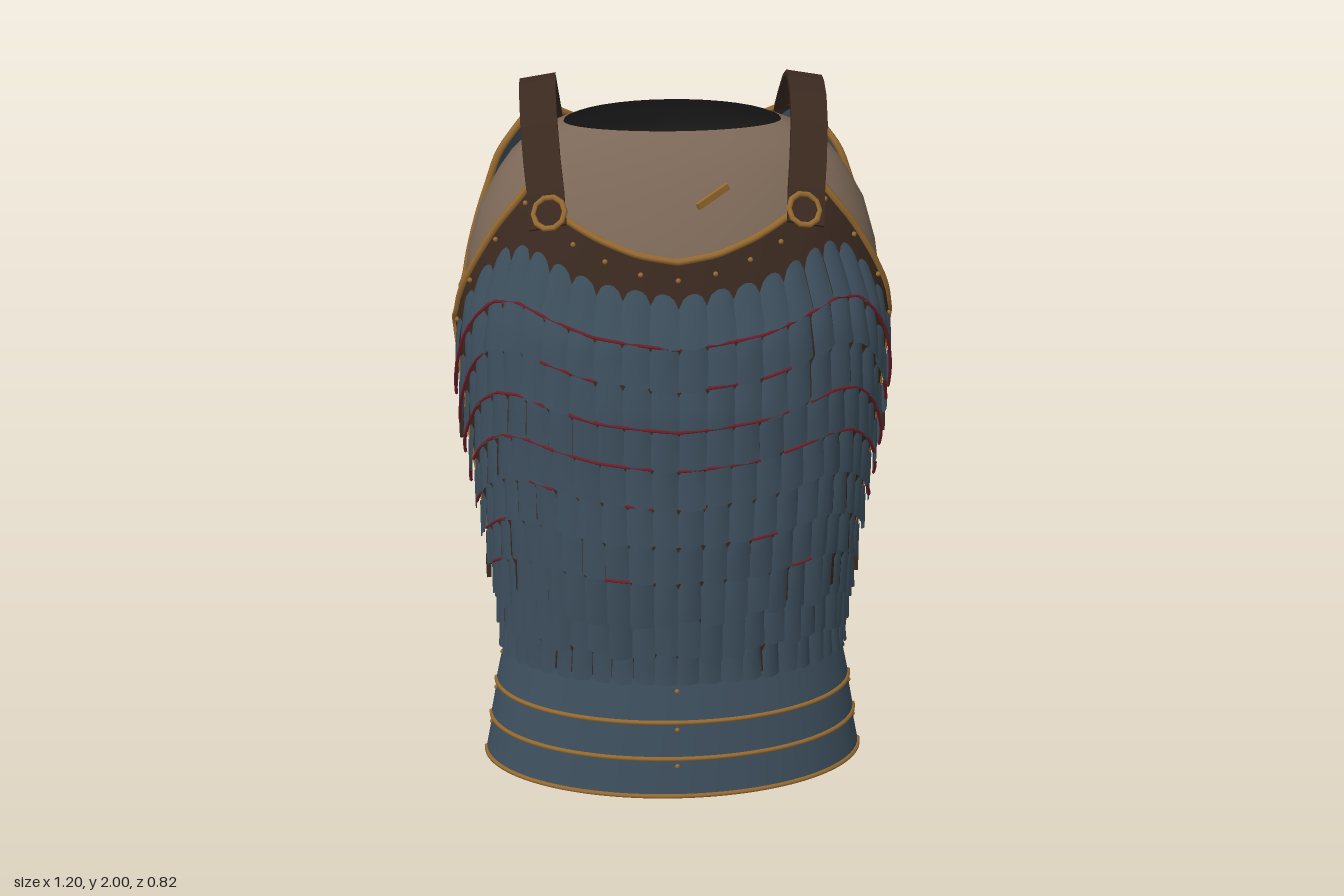
import * as THREE from 'three';
import { mergeGeometries, mergeVertices } from 'three/addons/utils/BufferGeometryUtils.js';

const mat = (name, color, side = THREE.DoubleSide) => {
  const m = new THREE.MeshStandardMaterial({ color, side });
  m.name = name;
  return m;
};

// piecewise linear lookup in [key, value, key, value, ...]
function look(t, k) {
  if (k <= t[0]) return t[1];
  for (let i = 2; i < t.length; i += 2) {
    if (k <= t[i]) return t[i - 1] + (t[i + 1] - t[i - 1]) * (k - t[i - 2]) / (t[i] - t[i - 2]);
  }
  return t[t.length - 1];
}

// surface from fn(u, v) -> Vector3 with u, v in 0..1
function grid(nu, nv, fn) {
  const pos = [], idx = [];
  for (let j = 0; j <= nv; j++) for (let i = 0; i <= nu; i++) pos.push(...fn(i / nu, j / nv).toArray());
  for (let j = 0; j < nv; j++) for (let i = 0; i < nu; i++) {
    const a = j * (nu + 1) + i, d = a + nu + 1;
    idx.push(a, d, a + 1, a + 1, d, d + 1);
  }
  let g = new THREE.BufferGeometry();
  g.setAttribute('position', new THREE.Float32BufferAttribute(pos, 3));
  g.setIndex(idx);
  g = mergeVertices(g, 1e-5);
  g.computeVertexNormals();
  return g;
}

// flat strap along pts; side is the half-width vector
function ribbon(pts, side, thick) {
  const pos = [], n = pts.length;
  const rings = pts.map((p, i) => {
    const t = pts[Math.min(i + 1, n - 1)].clone().sub(pts[Math.max(i - 1, 0)]);
    const h = new THREE.Vector3().crossVectors(side, t).setLength(thick / 2);
    return [[1, 1], [-1, 1], [-1, -1], [1, -1]].map(([a, b]) => p.clone().addScaledVector(side, a).addScaledVector(h, b));
  });
  const quad = (a, b, c, d) => [a, b, c, a, c, d].forEach(p => pos.push(p.x, p.y, p.z));
  for (let i = 0; i < n - 1; i++) for (let k = 0; k < 4; k++) {
    const m = (k + 1) % 4;
    quad(rings[i][k], rings[i][m], rings[i + 1][m], rings[i + 1][k]);
  }
  const [a, b, c, d] = rings[0];
  quad(d, c, b, a);
  quad(...rings[n - 1]);
  const g = new THREE.BufferGeometry();
  g.setAttribute('position', new THREE.Float32BufferAttribute(pos, 3));
  g.computeVertexNormals();
  return g;
}

const V = (x, y, z) => new THREE.Vector3(x, y, z);
const PI = Math.PI;
const fold = th => Math.min(th, PI - th);

// half-width and depth of the front and back shells by height
const FA = [0.36, 0.475, 0.6, 0.5, 0.8, 0.53, 1, 0.56, 1.2, 0.58, 1.34, 0.593, 1.45, 0.588, 1.55, 0.565, 1.67, 0.53, 1.78, 0.49];
const FB = [0.36, 0.275, 0.6, 0.318, 0.8, 0.347, 1, 0.362, 1.2, 0.385, 1.4, 0.382, 1.5, 0.352, 1.6, 0.32, 1.7, 0.285, 1.78, 0.24];
const BA = [0.34, 0.49, 0.6, 0.515, 0.8, 0.54, 1, 0.565, 1.2, 0.588, 1.37, 0.6, 1.5, 0.59, 1.6, 0.575, 1.75, 0.545, 1.88, 0.52];
const BB = [0.34, 0.325, 0.6, 0.337, 0.8, 0.355, 1, 0.372, 1.2, 0.397, 1.37, 0.418, 1.6, 0.388, 1.7, 0.374, 1.8, 0.343, 1.88, 0.325];
// top edges by angle from the side
const FTOP = [0, 1.34, 0.13, 1.37, 0.29, 1.49, 0.49, 1.64, 0.73, 1.785, 0.956, 1.7, 1.185, 1.65, 1.385, 1.615, 1.571, 1.6];
const BTOP = [0.27, 1.39, 0.32, 1.41, 0.37, 1.5, 0.54, 1.75, 0.81, 1.88, 1.05, 1.82, 1.2, 1.77, 1.4, 1.71, 1.571, 1.69];
const STOP = [0.06, 1.22, 0.3, 1.39, 0.5, 1.54, 0.65, 1.61, 0.8, 1.625, 0.96, 1.595, 1.2, 1.55, 1.571, 1.52];

const front = (th, y, o = 0) => V((look(FA, y) + o) * Math.cos(th), y, (look(FB, y) + o) * Math.sin(th));
const back = (th, y) => {
  const x = look(BA, y) * Math.cos(th);
  return V(x, y, -look(BB, y) * Math.sin(th) * (1 - 0.035 * Math.exp(-((x / 0.13) ** 2))));
};

export function createModel() {
  const steel = mat('blue steel', 0x3d4f5d), cloth = mat('tan padding', 0x7c6858, THREE.FrontSide);
  const lining = mat('dark lining', 0x282828, THREE.FrontSide), leather = mat('brown leather', 0x3a291f);
  const brass = mat('brass', 0x966a30), red = mat('red cord', 0x74202a);
  const model = new THREE.Group();
  const add = (name, geo, m) => {
    const mesh = new THREE.Mesh(geo, m);
    mesh.name = name;
    model.add(mesh);
    return mesh;
  };
  const tube = (pts, r, closed = false) =>
    new THREE.TubeGeometry(new THREE.CatmullRomCurve3(pts, closed), pts.length * 2, r, 6, closed);
  let seed = 7;
  const rnd = () => (seed = (seed * 16807) % 2147483647) / 2147483647;

  // padded undergarment: height, half-width, front depth, back depth
  const pad = [[0.16, 0.46, 0.25, 0.3], [0.35, 0.46, 0.255, 0.305], [0.8, 0.51, 0.325, 0.335], [1.2, 0.56, 0.365, 0.37],
    [1.4, 0.572, 0.36, 0.385], [1.55, 0.55, 0.315, 0.365], [1.67, 0.515, 0.265, 0.34], [1.75, 0.47, 0.22, 0.315],
    [1.8, 0.435, 0.19, 0.29], [1.85, 0.385, 0.15, 0.25], [1.89, 0.29, 0.11, 0.2]];
  // turn = 1 faces outward, turn = -1 faces inward
  const padding = (turn, inset) => grid(36, pad.length - 1, (u, v) => {
    const [y, a, f, b] = pad[Math.round(v * (pad.length - 1))], s = turn * Math.sin(u * 2 * PI);
    return V((a - inset) * Math.cos(u * 2 * PI), y, s * ((s > 0 ? f : b) - inset));
  });
  add('padding', padding(1, 0), cloth);
  add('paddingLining', padding(-1, 0.004), lining);

  // leather base of the front and smooth back plate
  const sheet = (fn, t0, top, bottom) => grid(96, 24, (u, v) => {
    const th = t0 + u * (PI - 2 * t0);
    return fn(th, bottom + v * (look(top, fold(th)) - bottom));
  });
  add('frontLeather', sheet(front, 0, FTOP, 0.34), leather);
  add('backPlate', sheet(back, 0.27, BTOP, 0.34), steel);

  // brass edging
  const edge = (fn, t0, top, bottom) => {
    const pts = [];
    for (let i = 0; i < 14; i++) pts.push(fn(t0, bottom + (look(top, t0) - bottom) * i / 14));
    for (let i = 0; i <= 60; i++) {
      const th = t0 + (PI - 2 * t0) * i / 60;
      pts.push(fn(th, look(top, fold(th))));
    }
    for (let i = 13; i >= 0; i--) pts.push(fn(PI - t0, bottom + (look(top, t0) - bottom) * i / 14));
    return pts;
  };
  add('frontEdging', tube(edge(front, 0, FTOP, 0.36), 0.01), brass);
  const backEdge = edge(back, 0.27, BTOP, 0.34);
  for (let i = 1; i < 30; i++) backEdge.push(back(PI - 0.27 - (PI - 0.54) * i / 30, 0.34));
  add('backEdging', tube(backEdge, 0.01, true), brass);

  // overlapping scales, each a curved plate with a rounded top and raised lower end
  const ROWS = 10, COLS = 24, T0 = 0.07, step = (PI - 2 * T0) / COLS;
  const at = (th, row, o) => {
    const top = look(STOP, fold(th));
    return front(th, top - (top - 0.35) * row / ROWS, o);
  };
  const scales = [], cords = [];
  const bare = [1, 0.1, 0.75, 0.1, 0.25, 0.75, 0.85, 0.8, 1, 1];
  for (let r = 0; r < ROWS; r++) for (let c = 0; c < COLS; c++) {
    const mid = T0 + (c + 0.5) * step, lift = 0.011 + rnd() * 0.006;
    const skew = (rnd() - 0.5) * (r > 6 ? 0.016 : 0.008);
    const drop = r === ROWS - 1 ? 1 : 1.12 + rnd() * (r > 6 ? 0.3 : 0.06);
    scales.push(grid(6, 4, (u, v) => {
      const w = u * 2 - 1, round = 0.4 * (1 - Math.sqrt(1 - 0.95 * w * w));
      const row = r + drop * (1 - v) - 0.04 * w * w * (1 - v) + round * v;
      return at(mid + w * step * 0.51, row, 0.007 + lift * (1 - v) + skew * w + 0.005 * (1 - w * w));
    }));
    // lacing across the lower end of the row above
    if (rnd() > bare[r]) {
      const pts = [0, 1, 2, 3].map(i => at(mid + (i / 3 - 0.5) * step * 1.05, r + 0.12, 0.024));
      cords.push(new THREE.TubeGeometry(new THREE.CatmullRomCurve3(pts), 4, 0.0045, 4));
    }
  }
  add('scales', mergeGeometries(scales), steel);
  add('lacing', mergeGeometries(cords), red);

  // three waist bands with brass lower edges
  const studs = [];
  const stud = p => studs.push(new THREE.SphereGeometry(0.007, 8, 6).translate(p.x, p.y, p.z));
  [[0.36, 0.235, 0.482, 0.275, 0.508, 0.298], [0.245, 0.125, 0.503, 0.292, 0.525, 0.308],
    [0.135, 0.01, 0.518, 0.3, 0.542, 0.316]].forEach(([y1, y0, a1, b1, a0, b0]) => {
    const p = (u, v) => V((a0 + (a1 - a0) * v) * Math.cos(u * PI), y0 + (y1 - y0) * v,
      0.005 + (b0 + (b1 - b0) * v) * Math.sin(u * PI));
    add('waistBand', grid(48, 2, p), steel);
    add('waistBandEdge', tube(Array.from({ length: 33 }, (_, i) => p(i / 32, 0)), 0.007), brass);
    [0.02, 0.5, 0.98].forEach(u => stud(p(u, 0.72)));
  });

  // studs along the leather border
  for (let i = 1; i < 18; i++) {
    const th = PI * i / 18;
    stud(front(th, look(FTOP, fold(th)) - 0.045, 0.002));
  }
  add('studs', mergeGeometries(studs), brass);

  // loose pin on the chest
  const pin = add('chestPin', new THREE.BoxGeometry(0.1, 0.018, 0.01), brass);
  pin.position.set(0.095, 1.748, 0.228);
  pin.rotation.set(0, 0.45, 0.45);

  for (const s of [1, -1]) {
    // shoulder strap
    const path = [[0.335, 1.68, 0.262], [0.34, 1.76, 0.215], [0.348, 1.83, 0.165], [0.354, 1.91, 0.11], [0.356, 1.965, 0.04],
      [0.356, 1.985, -0.03], [0.356, 1.983, -0.09], [0.354, 1.95, -0.165], [0.347, 1.885, -0.232],
      [0.341, 1.835, -0.27], [0.337, 1.785, -0.3]].map(([x, y, z]) => V(s * x, y, z));
    add('shoulderStrap', ribbon(path, V(s * 0.048, -0.008, 0), 0.014), leather);

    // strap ring
    const ring = add('strapRing', new THREE.TorusGeometry(0.043, 0.008, 6, 10), brass);
    ring.position.set(s * 0.332, 1.718, 0.255);
    ring.rotation.set(-0.6, s * 0.3, 0);

    // side straps with buckles
    for (const y of [1.025, 0.595]) {
      const a = look(FA, y) + 0.02;
      const pts = [[a, 0.04], [a + 0.003, 0], [a, -0.06], [a - 0.008, -0.11], [a - 0.022, -0.155]].map(([x, z]) => V(s * x, y, z));
      add('sideStrap', ribbon(pts, V(0, 0.025, 0), 0.012), leather);
      const buckle = add('sideBuckle', new THREE.TorusGeometry(0.036, 0.005, 4, 4).rotateZ(PI / 4), brass);
      buckle.position.set(s * (a - 0.008), y, -0.14);
      buckle.rotation.y = s * 1.2;
    }
  }
  return model;
}
